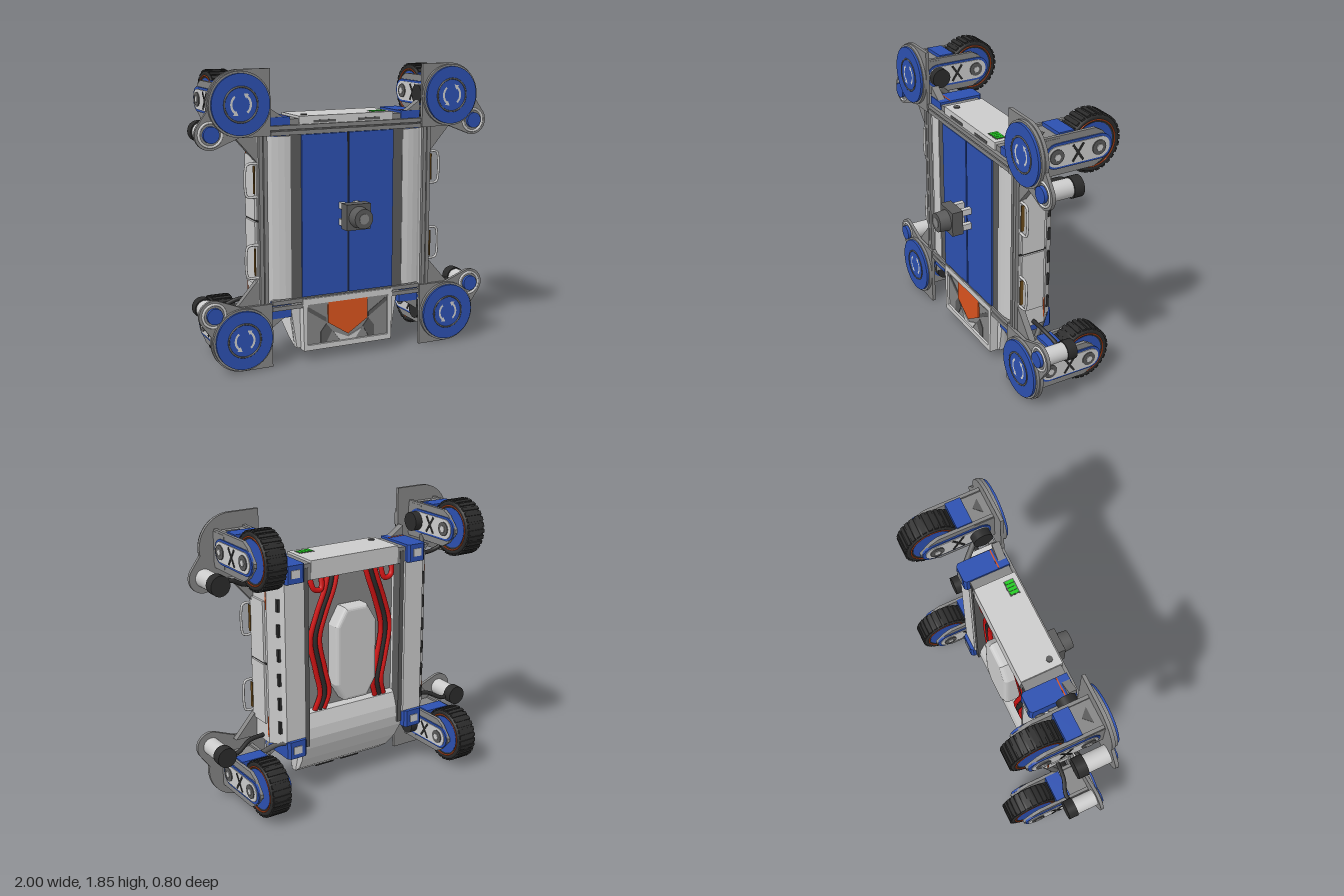
import * as THREE from 'three';

const GREY = 0xcccccc, MID = 0x858585, DARK = 0x5a5a5a, BLACK = 0x2b2b2b;
const BLUE = 0x2c50b0, ORANGE = 0xd9531e, RED = 0xd01414, GREEN = 0x22cc22, BROWN = 0x6b4a1a;
const MIDY = 0.93;

const mats = {};
const mat = c => mats[c] ??= new THREE.MeshStandardMaterial({ color: c, side: THREE.DoubleSide });

function add(parent, name, geo, color, x = 0, y = 0, z = 0) {
  const m = new THREE.Mesh(geo, mat(color));
  m.name = name;
  m.position.set(x, y, z);
  parent.add(m);
  return m;
}
// Box given by its limits
const box = (p, name, c, x0, x1, y0, y1, z0, z1) =>
  add(p, name, new THREE.BoxGeometry(Math.abs(x1 - x0), Math.abs(y1 - y0), Math.abs(z1 - z0)), c,
    (x0 + x1) / 2, (y0 + y1) / 2, (z0 + z1) / 2);
const cylZ = (r, d, n = 40, r2 = r) => new THREE.CylinderGeometry(r, r2, d, n).rotateX(Math.PI / 2);
const cylX = (r, d, n = 32) => new THREE.CylinderGeometry(r, r, d, n).rotateZ(Math.PI / 2);
const shape = pts => new THREE.Shape(pts.map(p => new THREE.Vector2(...p)));
const slab = (pts, depth) => new THREE.ExtrudeGeometry(pts instanceof THREE.Shape ? pts : shape(pts),
  { depth, bevelEnabled: false });
// Outline in (z, y), thickness centred along x
const slabX = (pts, d) => slab(pts, d).translate(0, 0, -d / 2).rotateY(-Math.PI / 2);
// Outline in (x, z), extruded upward
const slabY = (pts, h) => slab(pts.map(([x, z]) => [x, -z]), h).rotateX(-Math.PI / 2);
const tube = (pts, r, n = 40) => new THREE.TubeGeometry(
  new THREE.CatmullRomCurve3(pts.map(p => new THREE.Vector3(...p))), n, r, 10);
const arc = (cx, cy, r, a0, a1, n = 16) => Array.from({ length: n + 1 }, (_, i) => {
  const a = THREE.MathUtils.degToRad(a0 + (a1 - a0) * i / n);
  return [cx + r * Math.cos(a), cy + r * Math.sin(a)];
});
const stadium = (z0, z1, r) => [...arc(z1, 0, r, -90, 90), ...arc(z0, 0, r, 90, 270)];

function makeWheel() {
  const g = new THREE.Group();
  g.name = 'wheel';
  const profile = [[0.125, -0.06], [0.155, -0.07], [0.168, -0.066], [0.175, -0.05], [0.177, 0],
    [0.175, 0.05], [0.168, 0.066], [0.155, 0.07], [0.125, 0.06]].map(p => new THREE.Vector2(...p));
  add(g, 'tyre', new THREE.LatheGeometry(profile, 48).rotateZ(Math.PI / 2), BLACK);
  for (let i = 0; i < 28; i++) {
    const t = add(g, 'treadBlock', new THREE.BoxGeometry(0.125, 0.012, 0.026).translate(0, 0.175, 0), BLACK);
    t.rotation.x = i * Math.PI * 2 / 28;
  }
  add(g, 'hub', cylX(0.128, 0.125, 40), BLUE);
  for (const s of [-1, 1])
    add(g, 'rimStripe', new THREE.TorusGeometry(0.142, 0.004, 8, 48).rotateY(Math.PI / 2), ORANGE, s * 0.067);
  return g;
}

// Corner unit: sx is the side, sy is +1 at the top and -1 at the bottom
function makeCorner(sx, sy) {
  const g = new THREE.Group();
  g.name = (sy > 0 ? 'upper' : 'lower') + (sx > 0 ? 'Left' : 'Right') + 'Corner';
  g.position.set(sx * 0.722, MIDY + sy * 0.722, 0);
  const flip = pts => pts.map(([x, y]) => [x * sx, y * sy]);

  // Mounting plate with round turntable
  add(g, 'mountPlate', slab(flip([[-0.198, 0.205], ...arc(0, 0, 0.205, 90, -10, 24),
    ...arc(0.185, -0.172, 0.094, 32, -115), [0, -0.2], [-0.198, -0.2]]), 0.022), MID, 0, 0, 0.162);
  add(g, 'turntableRim', cylZ(0.197, 0.02, 48), MID, 0, 0, 0.193);
  add(g, 'turntable', cylZ(0.184, 0.036, 48), BLUE, 0, 0, 0.2);
  add(g, 'turntableRing', new THREE.TorusGeometry(0.105, 0.006, 8, 48), DARK, 0, 0, 0.217);
  for (const a of [0, Math.PI]) {
    const arrow = new THREE.Group();
    arrow.name = 'rotationArrow';
    arrow.rotation.z = a;
    add(arrow, 'arrowArc', new THREE.RingGeometry(0.054, 0.068, 20, 1, -0.9, 1.9), GREY);
    add(arrow, 'arrowHead', new THREE.CircleGeometry(0.02, 3).rotateZ(2.5), GREY, 0.033, 0.054);
    arrow.position.z = 0.2195;
    g.add(arrow);
  }

  // Steering motor
  const mx = sx * 0.182, my = -sy * 0.172;
  add(g, 'motorCap', cylZ(0.05, 0.03), BLUE, mx, my, 0.19);
  add(g, 'motorCapRim', new THREE.TorusGeometry(0.072, 0.008, 8, 36), GREY, mx, my, 0.184);
  add(g, 'motorBody', cylZ(0.056, 0.15), GREY, mx, my, 0.088);
  add(g, 'motorEnd', cylZ(0.064, 0.065, 24), BLACK, mx, my, -0.018);
  add(g, 'motorCable', tube([[mx, my, 0.03], [mx - sx * 0.09, my + sy * 0.01, 0.0],
    [mx - sx * 0.2, my - sy * 0.04, 0.03], [mx - sx * 0.33, my - sy * 0.05, 0.04]], 0.014), BLACK);

  // Fork holding the wheel
  box(g, 'forkHousing', MID, -0.11, 0.11, -0.105, 0.105, 0.03, 0.165);
  add(g, 'housingMark', slabY([[-0.05, 0.12], [0.05, 0.12], [0, 0.07]], 0.004), DARK,
    0, sy > 0 ? 0.104 : -0.108, 0);
  box(g, 'forkBridge', BLUE, -0.09, 0.09, -0.127, 0.127, -0.07, 0.03);
  add(g, 'forkMotor', cylX(0.062, 0.06), BLACK, -sx * 0.142, 0, 0.06);
  for (const s of [-1, 1]) {
    const f = s * 0.097;
    add(g, 'forkPlate', slabX([[0.16, -0.118], [0.16, 0.118], [-0.2, 0.118], [-0.25, 0.09], [-0.32, 0.012],
      [-0.32, -0.012], [-0.25, -0.09], [-0.2, -0.118]], 0.022), MID, f);
    add(g, 'forkTrim', slabX(stadium(-0.235, 0.06, 0.077), 0.014), BLUE, f + s * 0.012);
    add(g, 'forkCover', slabX(stadium(-0.23, 0.06, 0.063), 0.014), GREY, f + s * 0.017);
    for (const z of [0.06, -0.22]) {
      add(g, 'pivot', cylX(0.045, 0.02), DARK, f + s * 0.02, 0, z);
      add(g, 'pivotBolt', cylX(0.022, 0.026, 6), GREY, f + s * 0.022, 0, z);
    }
    for (const t of [-1, 1])
      add(g, 'crossBrace', new THREE.BoxGeometry(0.006, 0.125, 0.014), BLACK, f + s * 0.024, 0, -0.08)
        .rotation.x = t * 0.6;
  }
  const wheel = makeWheel();
  wheel.position.z = -0.222;
  g.add(wheel);

  // Gussets to the body, written from the corner centre
  add(g, 'gusset', slab(flip([[-0.2, -0.03], [-0.2, -0.17], [-0.36, -0.17], [-0.32, -0.11]]), 0.05), MID, 0, 0, 0.1);
  add(g, 'sideGusset', slab(flip([[-0.12, -0.19], [0.03, -0.19], [-0.12, -0.36]]), 0.04), MID, 0, 0, 0.115);
  add(g, 'strut', tube([[-sx * 0.22, -sy * 0.2, -0.11], [-sx * 0.17, -sy * 0.18, -0.06],
    [-sx * 0.1, -sy * 0.1, 0.03]], 0.018, 10), DARK);
  return g;
}

// Side wall: faceted pod, doors, handles, rail and its blue ends
function makeSide(s) {
  const g = new THREE.Group();
  g.name = s > 0 ? 'leftSide' : 'rightSide';
  const m = pts => pts.map(([x, z]) => [x * s, z]);
  add(g, 'sidePod', slabY(m([[0.34, -0.03], [0.37, -0.1], [0.53, -0.1], [0.6, -0.04], [0.6, 0.15], [0.34, 0.15]]), 1.06),
    GREY, 0, 0.4, 0);
  add(g, 'backRail', slabY(m([[0.35, -0.05], [0.38, -0.122], [0.52, -0.122], [0.545, -0.08], [0.545, -0.05]]), 1.04),
    GREY, 0, 0.41, 0);
  box(g, 'railInnerEdge', DARK, s * 0.345, s * 0.375, 0.34, 1.52, -0.112, -0.03);
  for (const t of [-1, 1]) {
    const at = (y0, y1) => [MIDY + t * y0, MIDY + t * y1];
    const [y0, y1] = at(0.515, 0.63);
    add(g, 'railEnd', slabY(m([[0.385, 0.155], [0.385, -0.13], [0.4, -0.145], [0.505, -0.145], [0.522, -0.13], [0.522, 0.155]]),
      0.115), BLUE, 0, Math.min(y0, y1), 0);
    box(g, 'railEndStripe', ORANGE, s * 0.39, s * 0.517, ...at(0.628, 0.632), 0.08, 0.088);
    box(g, 'latch', GREY, s * 0.425, s * 0.485, ...at(0.55, 0.6), -0.15, -0.14);
    box(g, 'sideDoor', GREY, s * 0.595, s * 0.615, ...at(0.006, 0.4), -0.02, 0.135);
    box(g, 'sideStripe', ORANGE, s * 0.59, s * 0.603, ...at(0.35, 0.49), -0.038, -0.03);
    box(g, 'handleGrip', BROWN, s * 0.615, s * 0.62, ...at(0.17, 0.34), 0.128, 0.15);
    const [h0, h1] = at(0.15, 0.355), e = t * 0.012;
    add(g, 'handle', tube([[s * 0.6, h0, 0.14], [s * 0.65, h0, 0.14], [s * 0.668, h0 + e, 0.14],
      [s * 0.668, h1 - e, 0.14], [s * 0.65, h1, 0.14], [s * 0.6, h1, 0.14]], 0.008, 60), GREY);
  }
  box(g, 'sideSeam', BLACK, s * 0.59, s * 0.605, 0.925, 0.937, -0.035, 0.15);
  for (let i = 0; i < 6; i++)
    box(g, 'hinge', BLACK, s * 0.54, s * 0.556, 0.47 + i * 0.16, 0.55 + i * 0.16, -0.098, -0.075);

  // Front strips, bowed panel and outer frame
  box(g, 'doorJamb', DARK, s * 0.315, s * 0.395, 0.42, 1.45, 0.14, 0.168);
  add(g, 'bowedPanel', slabY(m([[0.39, 0.14], [0.39, 0.172], [0.43, 0.174], [0.47, 0.17], [0.51, 0.16], [0.54, 0.145]]),
    1.02), GREY, 0, 0.425, 0);
  for (const x of [0.553, 0.583]) box(g, 'frontFrame', MID, s * (x - 0.012), s * (x + 0.012), 0.38, 1.47, 0.13, 0.172);

  // Red and black hoses in the back recess
  for (const [k, c] of [[0, RED], [1, BLACK], [2, RED]]) {
    const o = k * 0.034;
    add(g, 'hose', tube([[s * (0.1 + o), 1.47, -0.06], [s * (0.13 + o), 1.36, -0.07], [s * (0.19 + o), 1.2, -0.065],
      [s * (0.235 + o), 1.03, -0.06], [s * (0.2 + o), 0.82, -0.065], [s * (0.17 + o), 0.66, -0.065],
      [s * (0.2 + o), 0.55, -0.05]], 0.017, 60), c);
  }
  add(g, 'hoseLoop', tube([[s * 0.31, 1.47, -0.06], [s * 0.29, 1.37, -0.085], [s * 0.24, 1.36, -0.085],
    [s * 0.22, 1.47, -0.06]], 0.017), RED);
  return g;
}

function makeBody() {
  const g = new THREE.Group();
  g.name = 'body';
  box(g, 'core', MID, -0.56, 0.56, 0.38, 1.48, -0.03, 0.14);
  for (const s of [-1, 1]) {
    box(g, 'frontDoor', BLUE, s * 0.006, s * 0.318, 0.425, 1.448, 0.13, 0.18);
    g.add(makeSide(s));
  }
  box(g, 'doorSeam', BLACK, -0.006, 0.006, 0.425, 1.448, 0.14, 0.172);
  for (const y of [1.463, 1.497, 0.368, 0.405]) box(g, 'crossBar', MID, -0.52, 0.52, y - 0.013, y + 0.013, 0.13, 0.178);
  box(g, 'crossBarGap', DARK, -0.52, 0.52, 1.45, 1.51, 0.12, 0.165);

  // Top box with display and button
  box(g, 'topBox', GREY, -0.325, 0.325, 1.44, 1.56, -0.112, 0.16);
  for (const s of [-1, 1]) {
    box(g, 'topBoxEnd', MID, s * 0.325, s * 0.385, 1.44, 1.545, -0.11, 0.15);
    box(g, 'topSlot', DARK, s * 0.08, s * 0.23, 1.517, 1.532, 0.155, 0.164);
  }
  box(g, 'display', DARK, 0.188, 0.292, 1.555, 1.562, 0.065, 0.132);
  for (let i = 0; i < 4; i++) box(g, 'displayBar', GREEN, 0.194 + i * 0.024, 0.214 + i * 0.024, 1.56, 1.565, 0.072, 0.125);
  add(g, 'button', new THREE.CylinderGeometry(0.02, 0.02, 0.01, 24), DARK, -0.268, 1.562, 0.1);

  // Octagonal bulge on the back
  const bulge = new THREE.ExtrudeGeometry(shape([[-0.07, 0.62], [0.07, 0.62], [0.13, 0.72], [0.13, 1.1], [0.07, 1.2],
    [-0.07, 1.2], [-0.13, 1.1], [-0.13, 0.72]]), { depth: 0.06, bevelThickness: 0.03, bevelSize: 0.025, bevelOffset: -0.002, bevelSegments: 4 });
  add(g, 'backBulge', bulge, GREY, 0, 0, -0.106);

  // Lower hopper, narrowing downward
  const hopper = slabX([[0.13, 0.42], [-0.03, 0.56], [-0.06, 0.54], [-0.092, 0.45], [-0.1, 0.38], [-0.088, 0.31],
    [-0.05, 0.22], [0.02, 0.13], [0.09, 0.08], [0.13, 0.08]], 0.78);
  const p = hopper.attributes.position;
  for (let i = 0; i < p.count; i++)
    p.setX(i, Math.sign(p.getX(i)) * Math.min(p.getY(i) > 0.44 ? 0.345 : 0.388, 0.335 + 0.22 * (p.getY(i) - 0.07)));
  hopper.computeVertexNormals();
  add(g, 'hopper', hopper, GREY);
  for (const s of [-1, 1]) box(g, 'hopperSlot', BLACK, s * 0.03, s * 0.17, 0.064, 0.08, 0.1, 0.13);

  // Front badge plate in a light frame
  const frame = shape([[-0.31, 0.07], [0.31, 0.07], [0.318, 0.41], [-0.318, 0.41]]);
  frame.holes.push(new THREE.Path([[-0.285, 0.105], [-0.285, 0.372], [0.285, 0.372], [0.285, 0.105]]
    .map(q => new THREE.Vector2(...q))));
  add(g, 'lowerFrame', slab(frame, 0.06), GREY, 0, 0, 0.125);
  box(g, 'lowerPanel', MID, -0.3, 0.3, 0.09, 0.39, 0.12, 0.17);
  add(g, 'lowerChevron', slab([[-0.14, 0.372], [0.14, 0.372], [0.14, 0.235], [0, 0.145], [-0.14, 0.235]], 0.01), ORANGE, 0, 0, 0.17);
  add(g, 'lowerWedge', slab([[-0.1, 0.17], [0, 0.125], [0.1, 0.17], [0.055, 0.108], [-0.055, 0.108]], 0.008), GREY, 0, 0, 0.168);
  for (const s of [-1, 1]) {
    add(g, 'panelStripe', slab([[s * 0.285, 0.36], [s * 0.15, 0.27], [s * 0.15, 0.24], [s * 0.285, 0.33]], 0.006), DARK, 0, 0, 0.168);
    add(g, 'panelStripe', slab([[s * 0.15, 0.23], [s * 0.19, 0.18], [s * 0.19, 0.108], [s * 0.15, 0.108], [s * 0.11, 0.18]], 0.006),
      DARK, 0, 0, 0.168);
  }

  // Camera on four posts
  for (const x of [-0.048, 0.048]) for (const y of [0.885, 0.99])
    box(g, 'cameraPost', GREY, x - 0.016, x + 0.016, y - 0.02, y + 0.02, 0.17, 0.26);
  box(g, 'cameraHousing', DARK, -0.083, 0.083, 0.855, 1.018, 0.25, 0.325);
  add(g, 'cameraBarrel', cylZ(0.062, 0.075, 36, 0.068), DARK, 0, 0.936, 0.36);
  add(g, 'cameraLens', cylZ(0.032, 0.006, 32), MID, 0, 0.936, 0.398);
  return g;
}

export function createModel() {
  const model = new THREE.Group();
  model.name = 'rover';
  model.add(makeBody());
  for (const sx of [-1, 1]) for (const sy of [-1, 1]) model.add(makeCorner(sx, sy));
  return model;
}
